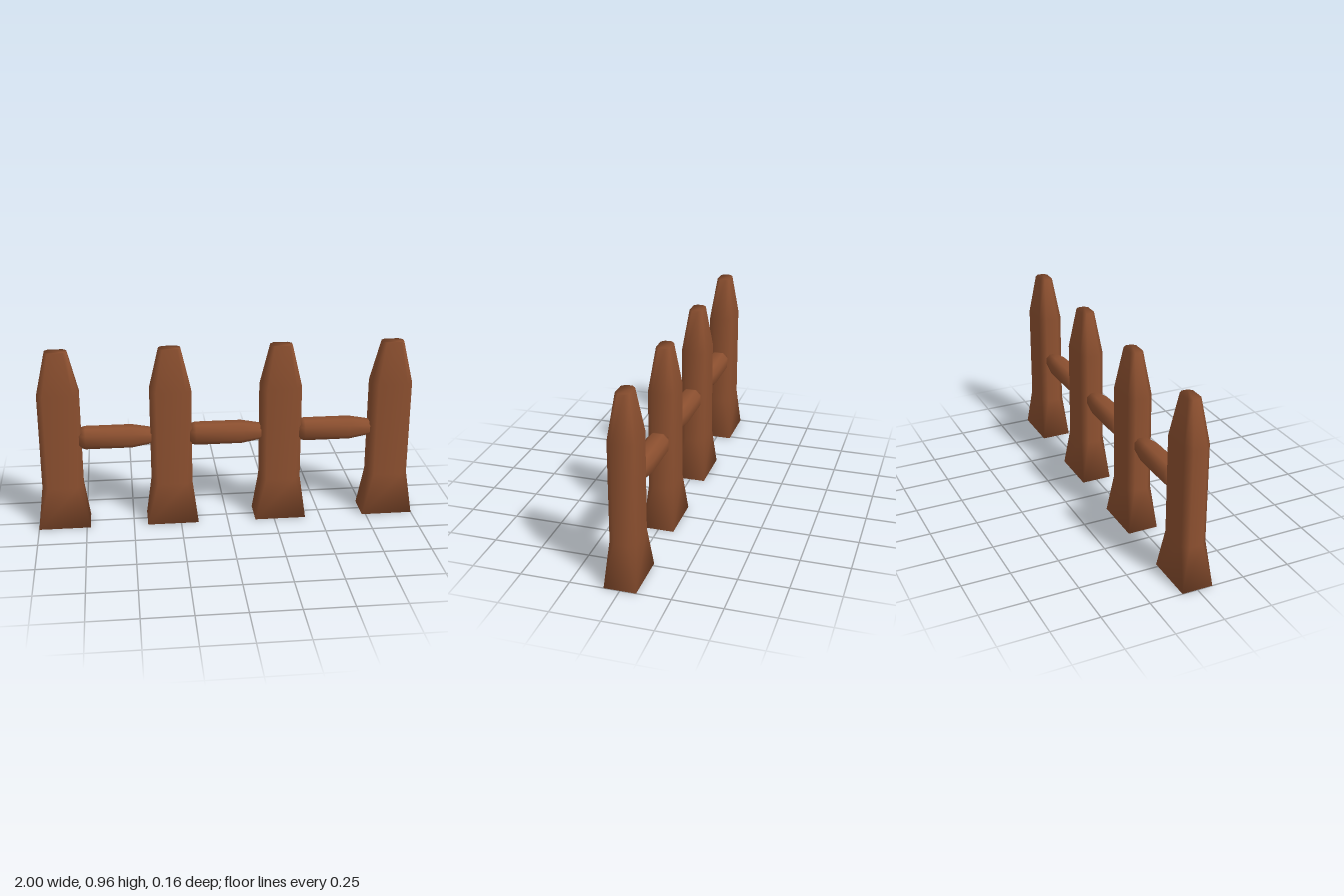
import * as THREE from 'three';
import { mergeVertices } from 'three/addons/utils/BufferGeometryUtils.js';

// Closed smooth body lofted up y through chamfered rectangles [y, halfX, halfZ, chamfer]
function loft(rings) {
  const pos = [], idx = [], n = 8;
  for (const [y, a, b, c] of rings) {
    const corners = [[a, b - c], [a - c, b], [c - a, b], [-a, b - c],
      [-a, c - b], [c - a, -b], [a - c, -b], [a, c - b]];
    for (const [x, z] of corners) pos.push(x, y, z);
  }
  for (let r = 0; r < rings.length - 1; r++) {
    for (let i = 0; i < n; i++) {
      const j = (i + 1) % n, p = r * n + i, q = r * n + j;
      idx.push(p, p + n, q, q, p + n, q + n);
    }
  }
  // End caps
  const t = (rings.length - 1) * n;
  for (let i = 1; i < n - 1; i++) {
    idx.push(0, i, i + 1);
    idx.push(t, t + i + 1, t + i);
  }
  const g = new THREE.BufferGeometry();
  g.setAttribute('position', new THREE.Float32BufferAttribute(pos, 3));
  g.setIndex(idx);
  const merged = mergeVertices(g, 1e-4);
  merged.computeVertexNormals();
  return merged;
}

export function createModel() {
  const group = new THREE.Group();
  group.name = 'fence';
  const wood = new THREE.MeshStandardMaterial({ color: 0x8b4f2f });
  wood.name = 'brown wood';

  // Posts: flared square foot, chamfered shaft, tapered tip
  const postGeo = loft([
    [0, 0.135, 0.08, 0],
    [0.225, 0.107, 0.065, 0.03],
    [0.735, 0.107, 0.065, 0.03],
    [0.957, 0.056, 0.034, 0.018],
  ]);
  const postX = [-0.865, -0.292, 0.283, 0.865];
  postX.forEach((x, i) => {
    const post = new THREE.Mesh(postGeo, wood);
    post.name = `post${i + 1}`;
    post.position.x = x;
    group.add(post);
  });

  // Rails: blunt on one end, long taper on the other, laid along x
  const railGeo = loft([
    [0, 0.045, 0.045, 0.02],
    [0.035, 0.055, 0.055, 0.028],
    [0.275, 0.055, 0.055, 0.028],
    [0.395, 0.036, 0.036, 0.018],
  ]);
  railGeo.rotateZ(-Math.PI / 2);
  for (let i = 0; i < 3; i++) {
    const rail = new THREE.Mesh(railGeo, wood);
    rail.name = `rail${i + 1}`;
    rail.position.set(postX[i] + 0.094, 0.483, 0);
    group.add(rail);
  }
  return group;
}
